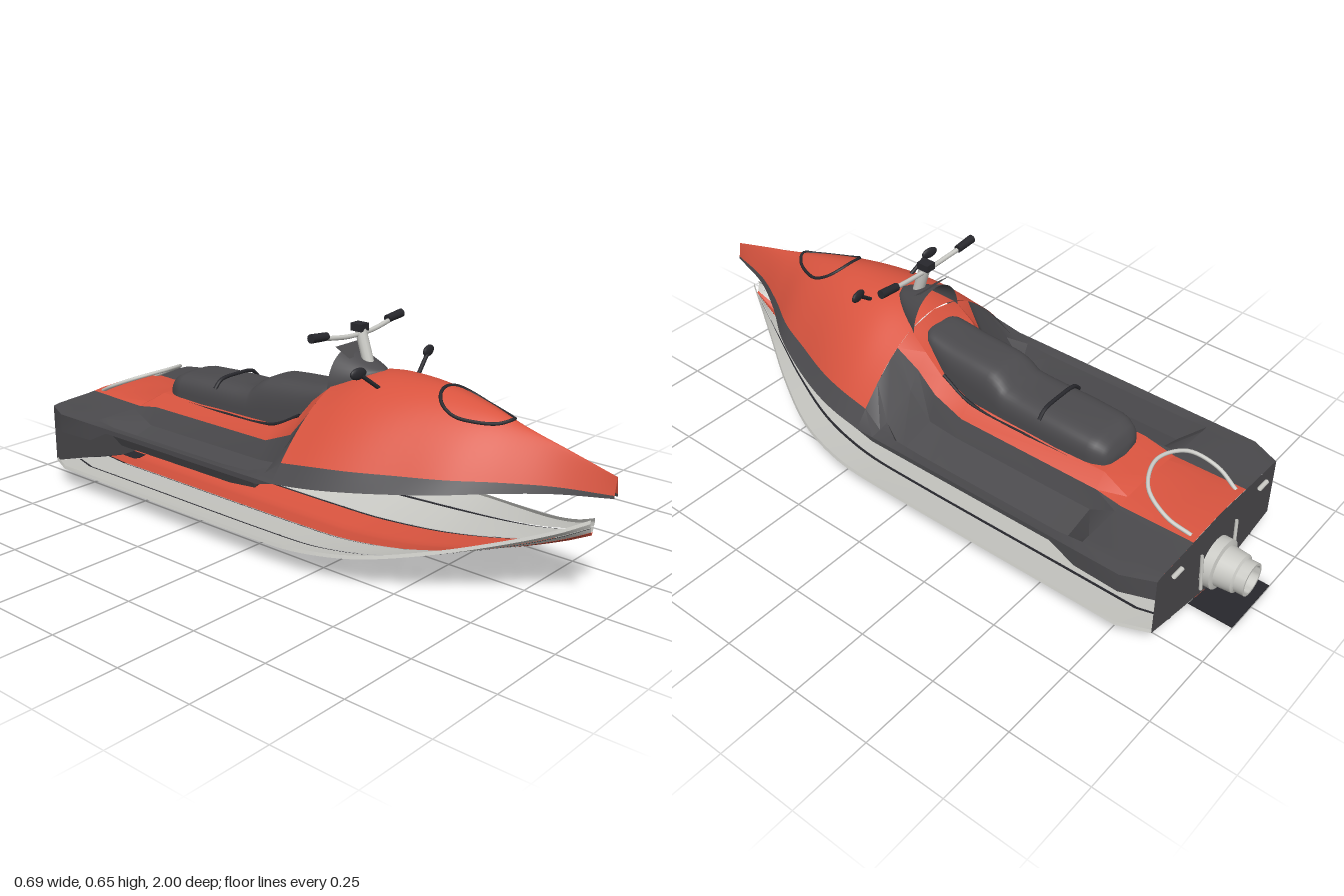
import * as THREE from 'three';
import { toCreasedNormals } from 'three/addons/utils/BufferGeometryUtils.js';

const V = (x, y, z) => new THREE.Vector3(x, y, z);

// Smooth lookup in rows of [z, a, b, ...] with z rising
function sample(rows, z, k) {
  let i = 0;
  while (i < rows.length - 2 && z > rows[i + 1][0]) i++;
  const slope = (j) => {
    const a = rows[Math.max(j - 1, 0)], b = rows[Math.min(j + 1, rows.length - 1)];
    return (b[k] - a[k]) / (b[0] - a[0]);
  };
  const [p, q] = [rows[i], rows[i + 1]], h = q[0] - p[0];
  const t = Math.min(Math.max((z - p[0]) / h, 0), 1), t2 = t * t, t3 = t2 * t;
  return (2 * t3 - 3 * t2 + 1) * p[k] + (t3 - 2 * t2 + t) * h * slope(i)
    + (3 * t2 - 2 * t3) * q[k] + (t3 - t2) * h * slope(i + 1);
}

// Open surface through rows of points
function skin(rows, crease) {
  const n = rows[0].length, index = [];
  for (let i = 0; i < rows.length - 1; i++) for (let j = 0; j < n - 1; j++) {
    const a = i * n + j, b = a + n;
    index.push(a, b, a + 1, b, b + 1, a + 1);
  }
  const g = new THREE.BufferGeometry().setFromPoints(rows.flat());
  g.setIndex(index);
  g.computeVertexNormals();
  return crease ? toCreasedNormals(g, crease) : g;
}

const range = (a, b, n) => Array.from({ length: n + 1 }, (_, i) => a + (b - a) * i / n);

// Hood: z, edge half-width, colour-line half-width, lower edge y, colour-line y, ridge y, section power
const HOOD = [
  [0.14, 0.345, 0.305, 0.25, 0.3, 0.49, 2], [0.25, 0.335, 0.295, 0.261, 0.312, 0.52, 2],
  [0.35, 0.312, 0.272, 0.271, 0.318, 0.526, 2], [0.47, 0.268, 0.228, 0.283, 0.324, 0.52, 1.9],
  [0.6, 0.205, 0.178, 0.296, 0.33, 0.496, 1.7], [0.72, 0.122, 0.108, 0.307, 0.334, 0.463, 1.45],
  [0.85, 0.052, 0.046, 0.32, 0.338, 0.43, 1.2], [1, 0.01, 0.009, 0.334, 0.342, 0.39, 1],
];
function hoodPoint(x, z) {
  const u = Math.min(Math.abs(x) / sample(HOOD, z, 2), 1), yb = sample(HOOD, z, 4);
  return V(x, yb + (sample(HOOD, z, 5) - yb) * (1 - u ** sample(HOOD, z, 6)), z);
}

// Hull: z, half-width, keel y, gunwale y
const HULL = [
  [-0.87, 0.305, 0, 0.062], [-0.78, 0.345, 0, 0.065], [-0.6, 0.345, 0, 0.065], [0.1, 0.345, 0, 0.065],
  [0.25, 0.338, 0.01, 0.072], [0.42, 0.298, 0.035, 0.092], [0.6, 0.21, 0.08, 0.13],
  [0.75, 0.12, 0.13, 0.172], [0.87, 0.05, 0.18, 0.215], [0.94, 0.012, 0.215, 0.25],
];

// Aft deck sections: z, then points from side wall to centre line
const AFT = [
  [0.14, [0.345, 0.25], [0.345, 0.25], [0.305, 0.3], [0.25, 0.362], [0.19, 0.416], [0.16, 0.438], [0.1, 0.47], [0, 0.49]],
  [0.08, [0.345, 0.235], [0.345, 0.25], [0.31, 0.255], [0.28, 0.265], [0.175, 0.32], [0.14, 0.375], [0.105, 0.42], [0, 0.42]],
  [0.02, [0.345, 0.235], [0.345, 0.25], [0.312, 0.25], [0.285, 0.19], [0.16, 0.225], [0.135, 0.31], [0.1, 0.355], [0, 0.355]],
  [-0.08, [0.345, 0.235], [0.345, 0.25], [0.312, 0.245], [0.285, 0.18], [0.16, 0.215], [0.135, 0.27], [0.1, 0.31], [0, 0.31]],
  [-0.56, [0.345, 0.235], [0.345, 0.25], [0.312, 0.245], [0.285, 0.18], [0.16, 0.215], [0.135, 0.27], [0.1, 0.31], [0, 0.31]],
  [-0.64, [0.345, 0.195], [0.345, 0.25], [0.31, 0.253], [0.28, 0.253], [0.16, 0.255], [0.135, 0.257], [0.1, 0.265], [0, 0.27]],
  [-0.78, [0.345, 0.19], [0.345, 0.25], [0.31, 0.253], [0.28, 0.254], [0.16, 0.258], [0.135, 0.26], [0.1, 0.266], [0, 0.27]],
  [-0.87, [0.305, 0.185], [0.305, 0.25], [0.285, 0.254], [0.27, 0.255], [0.16, 0.26], [0.135, 0.262], [0.1, 0.266], [0, 0.27]],
];

// Seat: z, half-width, base y, top y
const SEAT = [
  [-0.562, 0.004, 0.3, 0.31], [-0.555, 0.06, 0.295, 0.335], [-0.535, 0.085, 0.295, 0.365], [-0.49, 0.1, 0.295, 0.382],
  [-0.3, 0.1, 0.295, 0.39], [-0.2, 0.098, 0.295, 0.396], [-0.17, 0.097, 0.295, 0.42], [-0.13, 0.095, 0.3, 0.437],
  [0, 0.09, 0.33, 0.446], [0.08, 0.08, 0.39, 0.455], [0.115, 0.06, 0.42, 0.458], [0.13, 0.004, 0.44, 0.45],
];

export function createModel() {
  const model = new THREE.Group();
  const paint = (name, color, side = THREE.DoubleSide) => {
    const m = new THREE.MeshStandardMaterial({ color, side });
    m.name = name;
    return m;
  };
  const orange = paint('orange', 0xd9543f);
  const charcoal = paint('charcoal', 0x4b4a4d);
  const black = paint('black', 0x28282d);
  const light = paint('lightGrey', 0xcbcbc6);

  const add = (name, geometry, material, x = 0, y = 0, z = 0) => {
    const m = new THREE.Mesh(geometry, material);
    m.name = name;
    m.position.set(x, y, z);
    model.add(m);
    return m;
  };
  const tube = (name, pts, r, material, closed = false) =>
    add(name, new THREE.TubeGeometry(new THREE.CatmullRomCurve3(pts, closed), pts.length * 6, r, 8, closed), material);
  const rod = (name, a, b, r, material) =>
    add(name, new THREE.TubeGeometry(new THREE.LineCurve3(a, b), 1, r, 12), material);

  // Hull skin in coloured bands, fractions of the half-width
  const hullZ = [-0.87, -0.78, ...range(-0.6, 0.1, 4), ...range(0.15, 0.94, 26)];
  const hullBand = (name, material, u0, u1, n, lift = 0) => add(name, skin(hullZ.map((z) => range(u0, u1, n).map((u) => {
    const k = sample(HULL, z, 2), a = Math.abs(u);
    return V(u * sample(HULL, z, 1), k + (sample(HULL, z, 3) - k) * a ** 1.1 - lift, z);
  }))), material);
  hullBand('keelPanel', orange, -0.27, 0.27, 8);
  for (const s of [-1, 1]) {
    hullBand('innerStrake', black, s * 0.27, s * 0.295, 1, 0.002);
    hullBand('innerHullPanel', light, s * 0.295, s * 0.675, 4);
    hullBand('outerStrake', black, s * 0.675, s * 0.71, 1, 0.002);
    hullBand('outerHullPanel', light, s * 0.71, s, 4);
    add('hullLip', skin(hullZ.map((z) => [0, 0.01].map((d) =>
      V(s * (sample(HULL, z, 1) - d * 0.3), sample(HULL, z, 3) + d, z)))), light);
  }

  // Hood with a dark skirt below the colour line
  const hoodZ = range(0.14, 1, 40);
  add('hood', skin(hoodZ.map((z) => range(-1, 1, 36).map((u) => hoodPoint(u * sample(HOOD, z, 2), z)))), orange);
  for (const s of [-1, 1]) {
    add('hoodSkirt', skin(hoodZ.map((z) => [0, 0.5, 1].map((t) => V(
      s * THREE.MathUtils.lerp(sample(HOOD, z, 2), sample(HOOD, z, 1), t),
      THREE.MathUtils.lerp(sample(HOOD, z, 4), sample(HOOD, z, 3), t), z)))), charcoal);
  }

  // Aft deck: footwells each side and a raised centre body
  const aftRow = (s, a, b) => ([z, ...p]) => p.slice(a, b).map(([x, y]) => V(s * x, y, z));
  for (const s of [-1, 1]) add('footwell', skin(AFT.map(aftRow(s, 0, 6)), 0.5), charcoal);
  add('centreBody', skin(AFT.map((r) => [...aftRow(-1, 5, 8)(r), ...aftRow(1, 5, 7)(r).reverse()]), 0.5), orange);

  // Transom plate
  const outline = [[0, 0], [0.305, 0.062], [0.305, 0.25], [0.285, 0.254], [0.16, 0.26], [0, 0.27],
    [-0.16, 0.26], [-0.285, 0.254], [-0.305, 0.25], [-0.305, 0.062]];
  add('transom', new THREE.ShapeGeometry(new THREE.Shape(outline.map(([x, y]) => new THREE.Vector2(x, y)))), charcoal, 0, 0, -0.87);

  // Seat with a stepped rear cushion and a strap
  const seatZ = SEAT.flatMap((r, i) => (i ? [(SEAT[i - 1][0] + r[0]) / 2, r[0]] : [r[0]]));
  add('seat', skin(seatZ.map((z) => range(0, Math.PI, 24).map((a) => {
    const c = Math.cos(a), b = sample(SEAT, z, 2);
    return V(sample(SEAT, z, 1) * Math.sign(c) * Math.abs(c) ** 0.5,
      b + (sample(SEAT, z, 3) - b) * Math.max(Math.sin(a), 0) ** 0.5, z);
  }))), charcoal);
  tube('seatStrap', [V(-0.095, 0.37, -0.33), V(-0.07, 0.392, -0.33), V(0, 0.398, -0.33), V(0.07, 0.392, -0.33), V(0.095, 0.37, -0.33)], 0.006, black);
  for (const s of [-1, 1]) {
    tube('seatPiping', [V(s * 0.1, 0.302, -0.5), V(s * 0.102, 0.302, -0.3), V(s * 0.1, 0.312, -0.08), V(s * 0.095, 0.36, 0.02)], 0.005, black);
  }

  // Cowl sweeping up from the hood to an open back
  add('cowl', skin(range(0, 1, 10).map((t) => range(0, Math.PI, 20).map((a) => V(
    0.1 * Math.sqrt(t) * Math.cos(a),
    THREE.MathUtils.lerp(0.518, 0.44, t) + (0.004 + 0.126 * t) * Math.sin(a) ** 0.8,
    0.26 - 0.13 * t)))), charcoal);
  add('cowlTop', skin([[0.05, 0.55, 0.17], [0.064, 0.58, 0.13]].map(([x, y, z]) => [V(-x, y, z), V(0, y, z), V(x, y, z)])), charcoal);

  // Steering stem, handlebar and grips
  rod('steeringStem', V(0, 0.53, 0.2), V(0, 0.628, 0.168), 0.017, light);
  add('stemCap', new THREE.BoxGeometry(0.034, 0.022, 0.04), black, 0, 0.633, 0.165);
  tube('handlebar', [V(-0.19, 0.632, 0.155), V(-0.12, 0.622, 0.163), V(-0.05, 0.614, 0.168), V(0.05, 0.614, 0.168), V(0.12, 0.622, 0.163), V(0.19, 0.632, 0.155)], 0.007, light);
  for (const s of [-1, 1]) {
    const grip = add('grip', new THREE.CylinderGeometry(0.013, 0.012, 0.066, 14), black, s * 0.167, 0.632, 0.158);
    grip.rotation.z = -s * (Math.PI / 2 - 0.09);
    // Mirror on its arm
    rod('mirrorArm', V(s * 0.088, 0.5, 0.31), V(s * 0.15, 0.548, 0.295), 0.006, black);
    const mirror = add('mirror', new THREE.SphereGeometry(1, 18, 12), black, s * 0.158, 0.553, 0.292);
    mirror.scale.set(0.029, 0.017, 0.009);
    mirror.rotation.y = s * 0.15;
  }

  // Teardrop hatch seam lying on the hood
  const hatch = [[0, 0.475], [0.04, 0.483], [0.07, 0.51], [0.08, 0.555], [0.065, 0.61], [0.035, 0.665], [0, 0.69]];
  const loop = [...hatch, ...hatch.slice(1, -1).reverse().map(([x, z]) => [-x, z])];
  tube('hatchSeam', loop.map(([x, z]) => hoodPoint(x, z).add(V(0, 0.001, 0))), 0.005, black, true);

  // Rear grab rail
  const rail = [[0.115, 0.262, -0.85], [0.13, 0.295, -0.78], [0.1, 0.33, -0.7], [0, 0.345, -0.66]];
  const railPts = [...rail, ...rail.slice(0, -1).reverse().map(([x, y, z]) => [-x, y, z])].map((p) => V(...p));
  tube('grabRail', railPts, 0.006, light);

  // Jet nozzle turned around the z axis
  const profile = [[0.076, 0], [0.076, 0.03], [0.062, 0.034], [0.058, 0.085], [0.05, 0.09], [0.05, 0.12], [0.042, 0.12], [0.04, 0.07]];
  const nozzle = add('jetNozzle', toCreasedNormals(new THREE.LatheGeometry(profile.map(([r, h]) => new THREE.Vector2(r, h)), 28), 0.6), light, 0, 0.097, -0.87);
  nozzle.rotation.x = -Math.PI / 2;
  const bore = add('nozzleBore', new THREE.CircleGeometry(0.041, 24), black, 0, 0.097, -0.96);
  bore.rotation.y = Math.PI;

  // Ride plate, tie rods and cleats at the stern
  add('ridePlate', new THREE.BoxGeometry(0.2, 0.004, 0.19), black, 0, 0.002, -0.905);
  for (const s of [-1, 1]) {
    rod('tieRod', V(s * 0.085, 0.06, -0.885), V(s * 0.09, 0.185, -0.878), 0.005, light);
    rod('cleat', V(s * 0.2, 0.225, -0.88), V(s * 0.24, 0.225, -0.88), 0.007, light);
  }
  return model;
}
